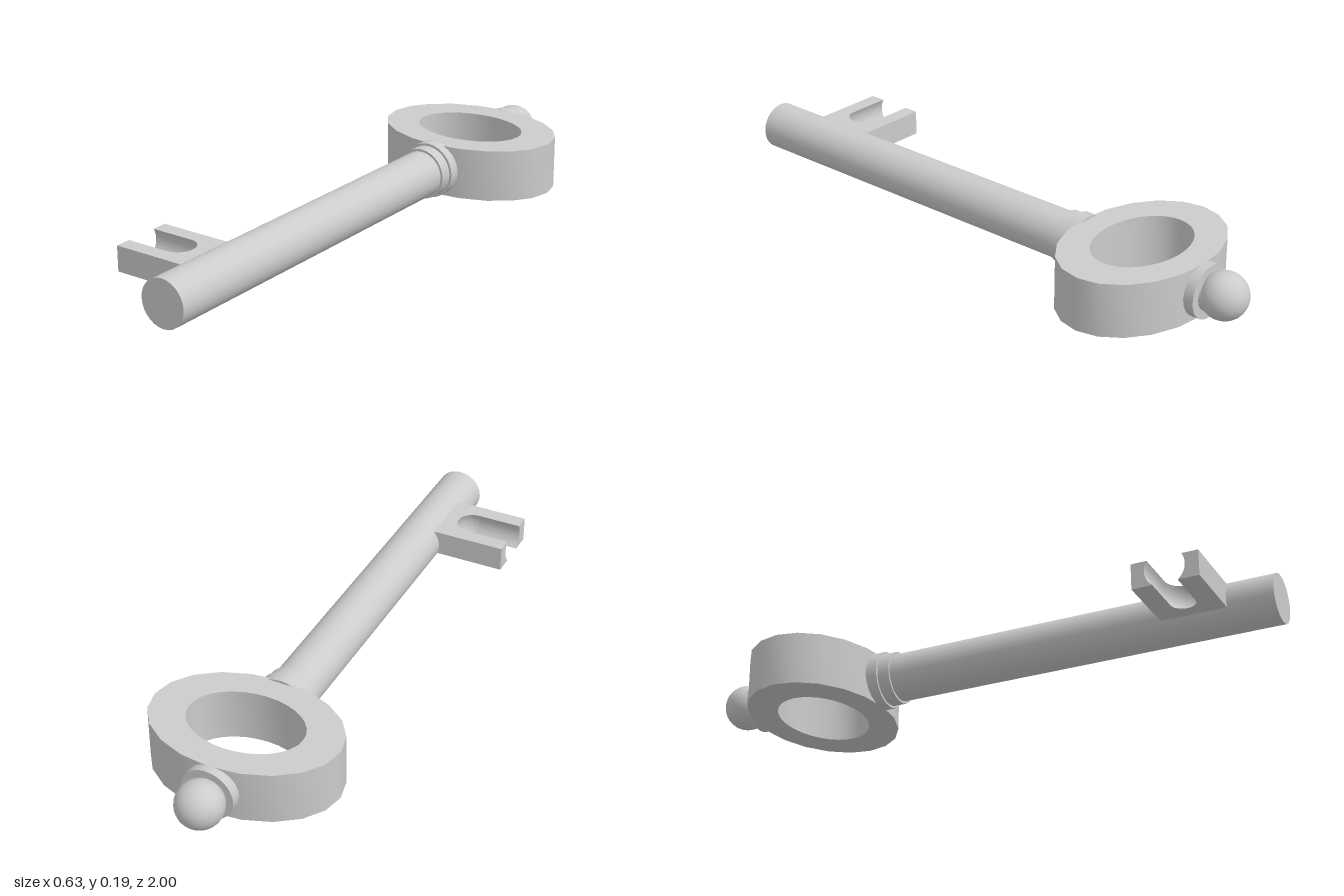
import * as THREE from 'three';
import { toCreasedNormals } from 'three/addons/utils/BufferGeometryUtils.js';

const AXIS_X = -0.005, AXIS_Y = 0.1;

export function createModel() {
  const group = new THREE.Group();
  const material = new THREE.MeshStandardMaterial({ color: 0xcccccc });

  const add = (name, geometry) => {
    const mesh = new THREE.Mesh(geometry, material);
    mesh.name = name;
    group.add(mesh);
    return mesh;
  };

  // Cylinder lying along z between two depths
  const rod = (name, radius, z0, z1) => {
    const geometry = new THREE.CylinderGeometry(radius, radius, z1 - z0, 28).rotateX(Math.PI / 2);
    add(name, geometry).position.set(AXIS_X, AXIS_Y, (z0 + z1) / 2);
  };

  // Extrude an x/z outline downwards from a given top height
  const slab = (shape, top, depth, steps = 1) =>
    new THREE.ExtrudeGeometry(shape, { depth, steps, bevelEnabled: false, curveSegments: 12 })
      .rotateX(Math.PI / 2).translate(0, top, 0);

  // Shaft and stepped collars
  rod('shaft', 0.08, -0.44, 1);
  rod('narrowCollar', 0.088, -0.38, -0.322);
  rod('wideCollar', 0.096, -0.405, -0.364);

  // Oval bow with an oval hole
  const oval = (rx, rz, sides) => Array.from({ length: sides }, (_, i) => {
    const a = (i / sides) * Math.PI * 2;
    return new THREE.Vector2(rx * Math.cos(a), rz * Math.sin(a));
  });
  const bow = new THREE.Shape(oval(0.317, 0.228, 20));
  bow.holes.push(new THREE.Path(oval(0.193, 0.137, 32)));
  add('bow', toCreasedNormals(slab(bow, 0.187, 0.178), 0.6)).position.z = -0.62;

  // Finial behind the bow
  rod('finialNeck', 0.06, -0.9, -0.8);
  rod('finialCollar', 0.088, -0.873, -0.838);
  add('finialBall', new THREE.SphereGeometry(0.077, 32, 20)).position.set(-0.009, 0.104, -0.923);

  // Forked bit: the slot is hollowed by a round-ended groove
  const endX = -0.317, slotX = -0.167, slotZ = 0.739, r = 0.06;
  const fork = new THREE.Shape();
  fork.moveTo(endX, 0.632);
  fork.lineTo(-0.065, 0.632);
  fork.lineTo(-0.065, 0.848);
  fork.lineTo(endX, 0.848);
  fork.lineTo(endX, slotZ + r);
  fork.lineTo(slotX, slotZ + r);
  fork.absarc(slotX, slotZ, r, Math.PI / 2, -Math.PI / 2, true);
  fork.lineTo(endX, slotZ - r);
  fork.closePath();
  const bit = slab(fork, 0.155, 0.085, 8);
  const p = bit.attributes.position;
  for (let i = 0; i < p.count; i++) {
    const x = p.getX(i), dx = Math.max(x - slotX, 0), dz = p.getZ(i) - slotZ;
    if (Math.hypot(dx, dz) > r + 0.001) continue;
    const scale = Math.sqrt(0.065 ** 2 - (p.getY(i) - 0.121) ** 2) / r;
    p.setX(i, x > slotX ? slotX + dx * scale : x);
    p.setZ(i, slotZ + dz * scale);
  }
  add('bit', toCreasedNormals(bit, 0.6));

  // Buried root joining the bit to the shaft
  add('bitRoot', new THREE.BoxGeometry(0.05, 0.08, 0.21)).position.set(-0.05, 0.1125, 0.74);
  return group;
}
